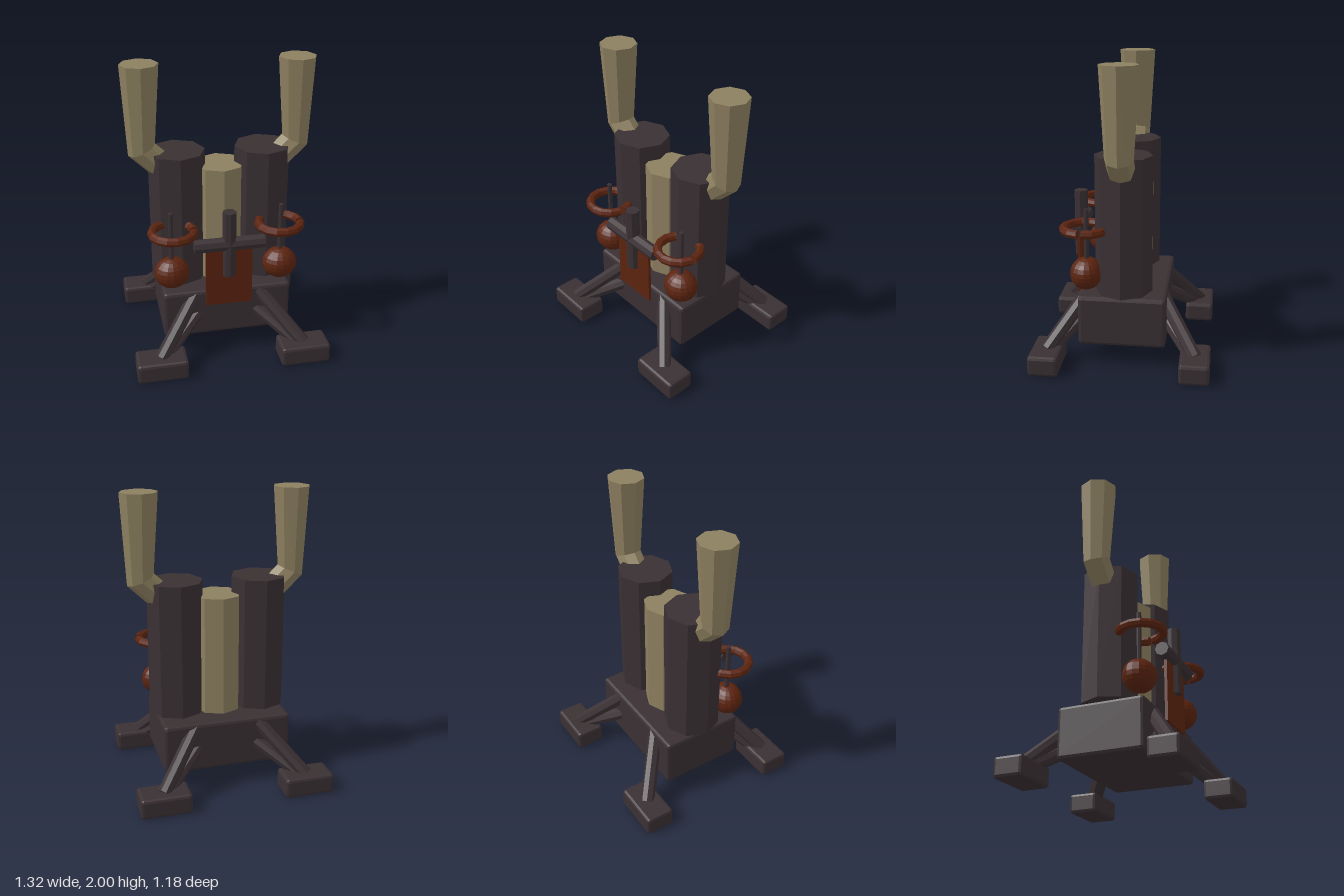
import * as THREE from 'three';
import { RoundedBoxGeometry } from 'three/addons/geometries/RoundedBoxGeometry.js';

const flat = (name, color) => {
  const m = new THREE.MeshStandardMaterial({ color, flatShading: true });
  m.name = name;
  return m;
};

// Eight-sided horn lofted through rings: [x, y, radius, tilt, stretch, twist]
function hornGeometry() {
  const sides = 8;
  const rings = [
    [0.36, 1.28, 0.09, -Math.PI / 4, 1, 0],
    [0.517, 1.43, 0.092, -Math.PI / 8, 1.05, 0],
    [0.512, 2, 0.125, 0, 1, Math.PI / 4],
  ];
  const pos = [];
  const index = [];
  for (const [x, y, r, tilt, stretch, twist] of rings) {
    for (let i = 0; i < sides; i++) {
      const a = (i / sides) * Math.PI * 2 + twist;
      const v = r * stretch * Math.cos(a);
      pos.push(x + v * Math.cos(tilt), y + v * Math.sin(tilt), r * Math.sin(a));
    }
  }
  for (let k = 0; k < rings.length - 1; k++) {
    for (let i = 0; i < sides; i++) {
      const a = k * sides + i;
      const b = k * sides + ((i + 1) % sides);
      index.push(a, a + sides, b, b, a + sides, b + sides);
    }
  }
  // end caps
  const top = (rings.length - 1) * sides;
  for (let i = 1; i < sides - 1; i++) {
    index.push(top, top + i + 1, top + i, 0, i, i + 1);
  }
  const g = new THREE.BufferGeometry();
  g.setAttribute('position', new THREE.Float32BufferAttribute(pos, 3));
  g.setIndex(index);
  const out = g.toNonIndexed();
  out.computeVertexNormals();
  return out;
}

export function createModel() {
  const model = new THREE.Group();
  const dark = flat('dark iron', 0x3a3033);
  const tan = flat('tan bone', 0x8d8060);
  const rust = flat('rust', 0x5c2410);

  const add = (name, geometry, material, x = 0, y = 0, z = 0) => {
    const mesh = new THREE.Mesh(geometry, material);
    mesh.name = name;
    mesh.position.set(x, y, z);
    model.add(mesh);
    return mesh;
  };
  const column = (name, r, y0, y1, x, z, material) =>
    add(name, new THREE.CylinderGeometry(r, r, y1 - y0, 8), material, x, (y0 + y1) / 2, z);
  const strut = (name, from, to, r) => {
    const a = new THREE.Vector3(...from);
    const b = new THREE.Vector3(...to);
    const mesh = add(name, new THREE.CylinderGeometry(r, r, a.distanceTo(b), 8), dark);
    mesh.position.copy(a).add(b).multiplyScalar(0.5);
    mesh.quaternion.setFromUnitVectors(new THREE.Vector3(0, 1, 0), b.sub(a).normalize());
  };

  // Base with four feet, each on a pair of struts
  add('base', new RoundedBoxGeometry(0.88, 0.34, 0.58, 1, 0.022), dark, 0, 0.31, 0);
  for (const sx of [-1, 1]) {
    for (const sz of [-1, 1]) {
      add('foot', new RoundedBoxGeometry(0.34, 0.135, 0.2, 1, 0.02), dark, sx * 0.49, 0.07, sz * 0.49);
      strut('upperLeg', [sx * 0.22, 0.44, sz * 0.25], [sx * 0.49, 0.12, sz * 0.49], 0.047);
      strut('lowerLeg', [sx * 0.2, 0.3, sz * 0.25], [sx * 0.46, 0.11, sz * 0.46], 0.045);
    }
  }

  // Columns
  column('centreColumn', 0.165, 0.47, 1.3, 0, 0, tan);
  for (const s of [-1, 1]) {
    column('sideColumn', 0.19, 0.49, 1.41, s * 0.29, 0, dark);

    // Horn rising from the outer side
    add('horn', hornGeometry(), tan).rotation.y = s > 0 ? 0 : Math.PI;

    // Hanging ball, its rod and an open ring
    const ball = add('ball', new THREE.SphereGeometry(0.108, 16, 12), rust, s * 0.372, 0.628, 0.237);
    ball.scale.x = 1.1;
    column('ballRod', 0.016, 0.63, 1.065, s * 0.372, 0.235, dark);
    const ring = add('ring', new THREE.TorusGeometry(0.14, 0.03, 8, 14, 6.1), rust, s * 0.36, 0.93, 0.245);
    ring.rotation.x = -Math.PI / 2;
    // closed ends of the ring
    for (const a of [0, 6.1]) {
      const end = new THREE.Mesh(new THREE.CircleGeometry(0.03, 8), rust);
      end.name = 'ringEnd';
      end.position.set(0.14 * Math.cos(a), 0.14 * Math.sin(a), 0);
      end.rotation.order = 'ZXY';
      end.rotation.set(a ? -Math.PI / 2 : Math.PI / 2, 0, a);
      ring.add(end);
    }
  }

  // Cross with hanging banner
  column('crossUpright', 0.046, 0.625, 1.09, 0, 0.333, dark);
  strut('crossBar', [-0.235, 0.857, 0.333], [0.235, 0.857, 0.333], 0.047);
  add('banner', new THREE.BoxGeometry(0.315, 0.46, 0.02), rust, 0, 0.63, 0.327);

  return model;
}
